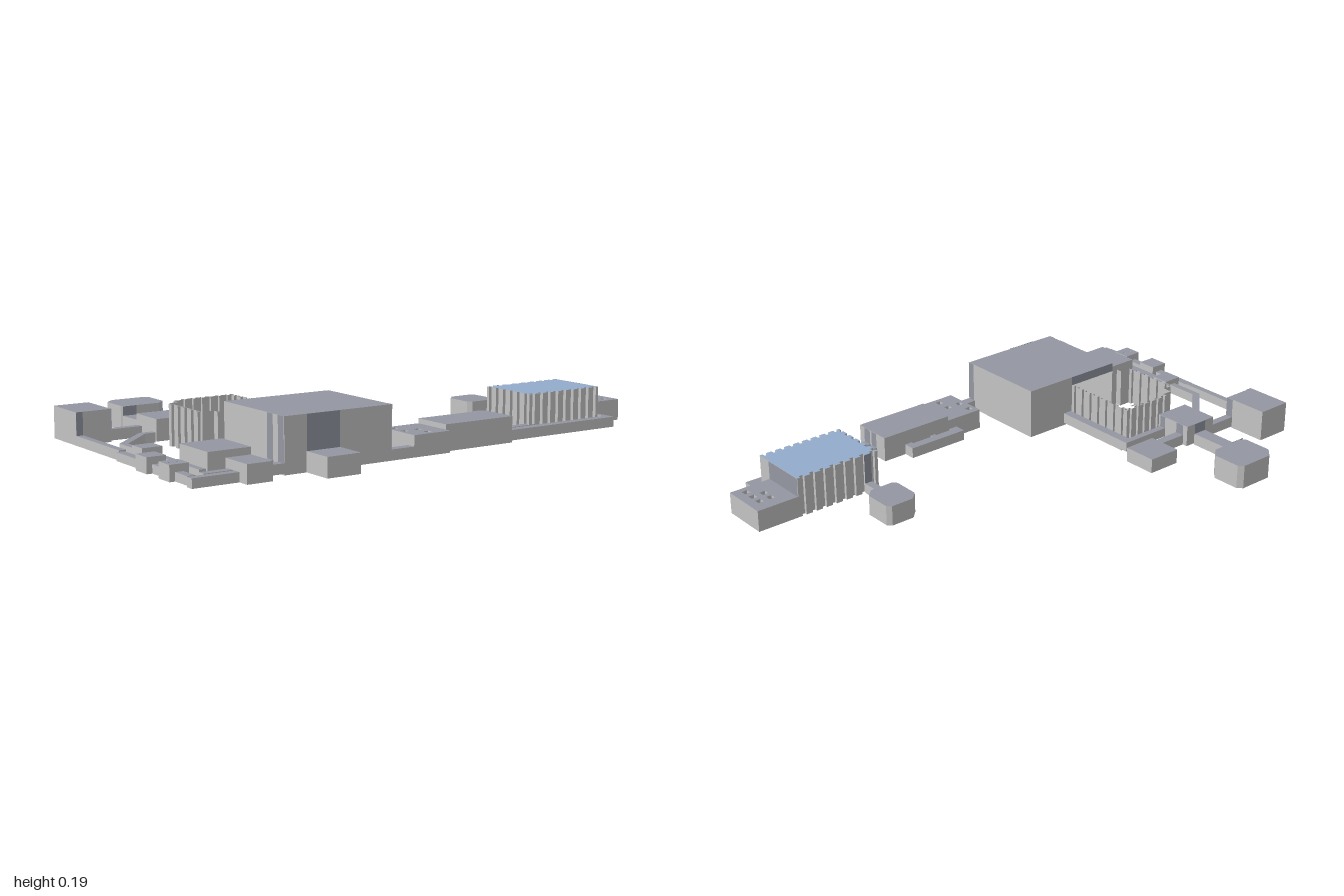
import * as THREE from 'three';

const flat = (name, color) => new THREE.MeshStandardMaterial({ name, color, side: THREE.DoubleSide });

export function createModel() {
  const model = new THREE.Group();
  model.name = 'floorComplex';
  const wallMat = flat('paleWall', 0xc4c4c4);
  const roofMat = flat('slateRoof', 0x9497a3);
  const skyMat = flat('blueRoof', 0x93abcc);
  const floorMat = flat('tanFloor', 0xaaa08f);

  const add = (name, geometry, material, parent = model) => {
    const mesh = new THREE.Mesh(geometry, material);
    mesh.name = name;
    parent.add(mesh);
    return mesh;
  };
  const rect = (x0, x1, z0, z1) => [[x0, z0], [x1, z0], [x1, z1], [x0, z1]];
  const outline = (pts) => pts.map(([x, z]) => new THREE.Vector2(x, -z));

  // Horizontal sheet bounded by an outline, optionally pierced
  function sheet(pts, y, holes = []) {
    const shape = new THREE.Shape(outline(pts));
    for (const h of holes) shape.holes.push(new THREE.Path(outline(h)));
    return new THREE.ShapeGeometry(shape).rotateX(-Math.PI / 2).translate(0, y, 0);
  }

  // Upright band of wall following a path
  function band(pts, y0, y1, closed = true) {
    const v = [];
    const n = closed ? pts.length : pts.length - 1;
    for (let i = 0; i < n; i++) {
      const [ax, az] = pts[i], [bx, bz] = pts[(i + 1) % pts.length];
      v.push(ax, y0, az, ax, y1, az, bx, y1, bz, ax, y0, az, bx, y1, bz, bx, y0, bz);
    }
    const g = new THREE.BufferGeometry();
    g.setAttribute('position', new THREE.Float32BufferAttribute(v, 3));
    g.computeVertexNormals();
    return g;
  }

  // Walled space with a roof, an optional floor and optional shafts
  function room(name, pts, y0, y1, { floor = true, holes = [], roof = roofMat } = {}) {
    const group = new THREE.Group();
    group.name = name;
    model.add(group);
    add('walls', band(pts, y0, y1), wallMat, group);
    add('roof', sheet(pts, y1, holes), roof, group);
    if (floor) add('floor', sheet(pts, y0, holes), floorMat, group);
    for (const h of holes) add('shaft', band(h, y0, y1), wallMat, group);
  }

  // Rectangle with clipped corners
  const clipped = (x0, x1, z0, z1, c) => [
    [x0 + c, z0], [x1 - c / 2, z0], [x1, z0 + c / 2], [x1, z1 - c],
    [x1 - c, z1], [x0 + c / 2, z1], [x0, z1 - c / 2], [x0, z0 + c]];

  // Notched run from a to b; (nx, nz) is the notch depth
  function notched([ax, az], [bx, bz], count, nx, nz) {
    const pts = [];
    const at = (t, k) => pts.push([ax + (bx - ax) * t + nx * k, az + (bz - az) * t + nz * k]);
    at(0, 0);
    for (let i = 0; i < count; i++) {
      const a = (i + 0.3) / count, b = (i + 0.7) / count;
      at(a, 0); at(a, 1); at(b, 1); at(b, 0);
    }
    return pts;
  }
  const squares = (list) => list.map(([x, z]) => rect(x - 0.011, x + 0.011, z - 0.011, z + 0.011));

  // Closed rooms: name, x0, x1, z0, z1, bottom, top, has floor
  const rooms = [
    ['cornerRoom', -0.97, -0.835, -0.445, -0.265, 0.03, 0.148, false],
    ['hubRoom', -0.715, -0.575, -0.305, -0.155, 0.035, 0.115, true],
    ['smallBackRoom', -0.445, -0.315, -0.38, -0.25, 0.035, 0.09, true],
    ['sideRoom', -0.875, -0.715, 0.30, 0.48, 0.025, 0.115, true],
    ['sideAnnex', -0.81, -0.715, 0.48, 0.61, 0.025, 0.09, true],
    ['entryRoom', -0.54, -0.41, 0.535, 0.655, 0.02, 0.09, false],
    ['middleRoom', 0.05, 0.35, 0.355, 0.51, 0.02, 0.115, true],
    ['westNodeA', -1.0, -0.93, 0.235, 0.31, 0.03, 0.085, true],
    ['innerNode', -0.94, -0.865, 0.095, 0.165, 0.03, 0.085, true],
  ];
  for (const [name, x0, x1, z0, z1, y0, y1, floor] of rooms)
    room(name, rect(x0, x1, z0, z1), y0, y1, { floor });

  // Low passages: x0, x1, z0, z1, bottom, top
  const passages = [
    [-0.67, -0.615, -0.50, -0.305, 0.03, 0.075],
    [-0.835, -0.715, -0.295, -0.265, 0.035, 0.075],
    [-0.575, -0.445, -0.285, -0.25, 0.035, 0.075],
    [-0.97, -0.945, -0.265, 0.06, 0.03, 0.065],
    [-0.98, -0.95, 0.06, 0.535, 0.03, 0.06],
    [-0.98, -0.81, 0.535, 0.565, 0.025, 0.058],
    [-0.915, -0.81, 0.495, 0.525, 0.025, 0.058],
    [-0.715, -0.625, 0.435, 0.47, 0.025, 0.06],
    [-0.715, -0.625, 0.50, 0.535, 0.025, 0.06],
    [-0.575, -0.37, -0.19, -0.165, 0.035, 0.07],
    [-0.405, -0.37, -0.165, 0.16, 0.03, 0.07],
    [-0.20, -0.105, 0.50, 0.535, 0.02, 0.058],
    [0.01, 0.255, 0.31, 0.345, 0.02, 0.06],
    [0.01, 0.045, 0.345, 0.357, 0.02, 0.06],
    [0.115, 0.135, 0.345, 0.357, 0.02, 0.06],
    [0.225, 0.255, 0.345, 0.357, 0.02, 0.06],
    [0.35, 0.53, 0.405, 0.435, 0.02, 0.058],
    [0.35, 0.875, 0.445, 0.48, 0.02, 0.058],
    [0.85, 0.875, 0.375, 0.445, 0.02, 0.058],
    [0.525, 0.555, 0.08, 0.195, 0.02, 0.058],
  ];
  for (const [x0, x1, z0, z1, y0, y1] of passages) room('passage', rect(x0, x1, z0, z1), y0, y1);

  // Slanted inner passage beside the courtyard
  room('slantedPassage', [[-0.715, -0.19], [-0.765, -0.19], [-0.915, -0.045], [-0.915, 0.495],
    [-0.89, 0.495], [-0.89, -0.03], [-0.755, -0.165], [-0.715, -0.165]], 0.03, 0.066);

  // Clipped-corner rooms
  room('backClippedRoom', clipped(-0.67, -0.485, -0.66, -0.50, 0.035), 0.02, 0.11, { floor: false });
  room('eastClippedRoom', clipped(0.505, 0.64, -0.065, 0.08, 0.03), 0.02, 0.095, { floor: false });

  // Rooms pierced by square shafts
  room('shaftRoom', rect(-0.105, 0.05, 0.355, 0.535), 0.02, 0.097,
    { holes: squares([[-0.08, 0.39], [-0.025, 0.45], [-0.08, 0.45], [-0.025, 0.505]]) });
  room('eastEndRoom', rect(0.835, 1.0, 0.195, 0.375), 0.02, 0.10,
    { floor: false, holes: squares([[0.91, 0.255], [0.955, 0.255], [0.91, 0.297], [0.955, 0.297], [0.955, 0.342]]) });
  room('westNodeB', rect(-1.0, -0.93, 0.39, 0.46), 0.03, 0.085,
    { holes: [rect(-0.985, -0.977, 0.42, 0.43), rect(-0.955, -0.947, 0.42, 0.43)] });

  // Tall room with notched walls and blue roof
  const tall = [
    ...notched([0.495, 0.195], [0.835, 0.195], 8, 0, 0.012),
    [0.835, 0.195],
    ...notched([0.835, 0.435], [0.495, 0.435], 9, 0, -0.014),
    ...notched([0.495, 0.435], [0.495, 0.195], 6, 0.012, 0),
  ];
  room('notchedRoom', tall, 0.02, 0.17, { roof: skyMat });

  // Great hall, open towards the courtyard
  add('hallWalls', band([[-0.41, 0.16], [-0.2, 0.16], [-0.2, 0.535], [-0.625, 0.535], [-0.625, 0.16]],
    0.02, 0.212, false), wallMat);
  add('hallRoof', sheet(rect(-0.625, -0.2, 0.16, 0.535), 0.212), roofMat);
  add('hallLintel', band([[-0.625, 0.16], [-0.41, 0.16]], 0.178, 0.212, false), roofMat);

  // Roofless courtyard with notched walls
  add('courtyardWalls', band([
    [-0.625, 0.16], [-0.65, 0.16], [-0.65, 0.135],
    ...notched([-0.695, 0.135], [-0.695, -0.095], 5, -0.01, 0),
    [-0.695, -0.095], [-0.66, -0.095], [-0.66, -0.13], [-0.62, -0.13],
    ...notched([-0.62, -0.148], [-0.41, -0.148], 6, 0, 0.01),
    ...notched([-0.41, -0.148], [-0.41, 0.16], 7, -0.01, 0), [-0.41, 0.16],
  ], 0.03, 0.178, false), wallMat);
  for (let i = 0; i < 5; i++) {
    const z = -0.07 + i * 0.046;
    add('nicheCap', sheet(rect(-0.705, -0.694, z - 0.012, z + 0.012), 0.178), roofMat);
  }
  add('courtyardPlatform', sheet(rect(-0.54, -0.425, -0.145, 0.09), 0.045,
    [rect(-0.51, -0.5, -0.045, -0.02)]), floorMat);
  add('courtyardStep', sheet(rect(-0.62, -0.415, 0.148, 0.16), 0.03), floorMat);
  for (const [x, z] of [[-0.62, -0.085], [-0.56, -0.045], [-0.645, 0.055], [-0.655, -0.07], [-0.59, 0.045], [-0.47, -0.055]])
    add('courtyardSlab', sheet(rect(x - 0.012, x + 0.012, z - 0.004, z + 0.004), 0.06), roofMat);

  // Slate panels above the doorways: ax, az, bx, bz, bottom, top
  const panels = [
    [-0.54, 0.537, -0.41, 0.537, 0.09, 0.212],
    [-0.198, 0.505, -0.198, 0.535, 0.058, 0.212],
    [-0.627, 0.435, -0.627, 0.47, 0.06, 0.212],
    [-0.627, 0.50, -0.627, 0.535, 0.06, 0.212],
    [0.837, 0.195, 0.837, 0.375, 0.10, 0.17],
    [0.525, 0.193, 0.555, 0.193, 0.058, 0.17],
    [-0.97, -0.263, -0.945, -0.263, 0.065, 0.148],
    [-0.833, -0.295, -0.833, -0.265, 0.075, 0.148],
    [-0.573, -0.19, -0.573, -0.165, 0.07, 0.115],
    [-0.573, -0.285, -0.573, -0.25, 0.075, 0.115],
    [-0.67, -0.307, -0.615, -0.307, 0.075, 0.115],
    [-0.67, -0.498, -0.615, -0.498, 0.075, 0.11],
    [0.352, 0.405, 0.352, 0.435, 0.058, 0.115],
    [0.352, 0.445, 0.352, 0.48, 0.058, 0.115],
  ];
  for (const [ax, az, bx, bz, y0, y1] of panels)
    add('doorPanel', band([[ax, az], [bx, bz]], y0, y1, false), roofMat);

  return model;
}
